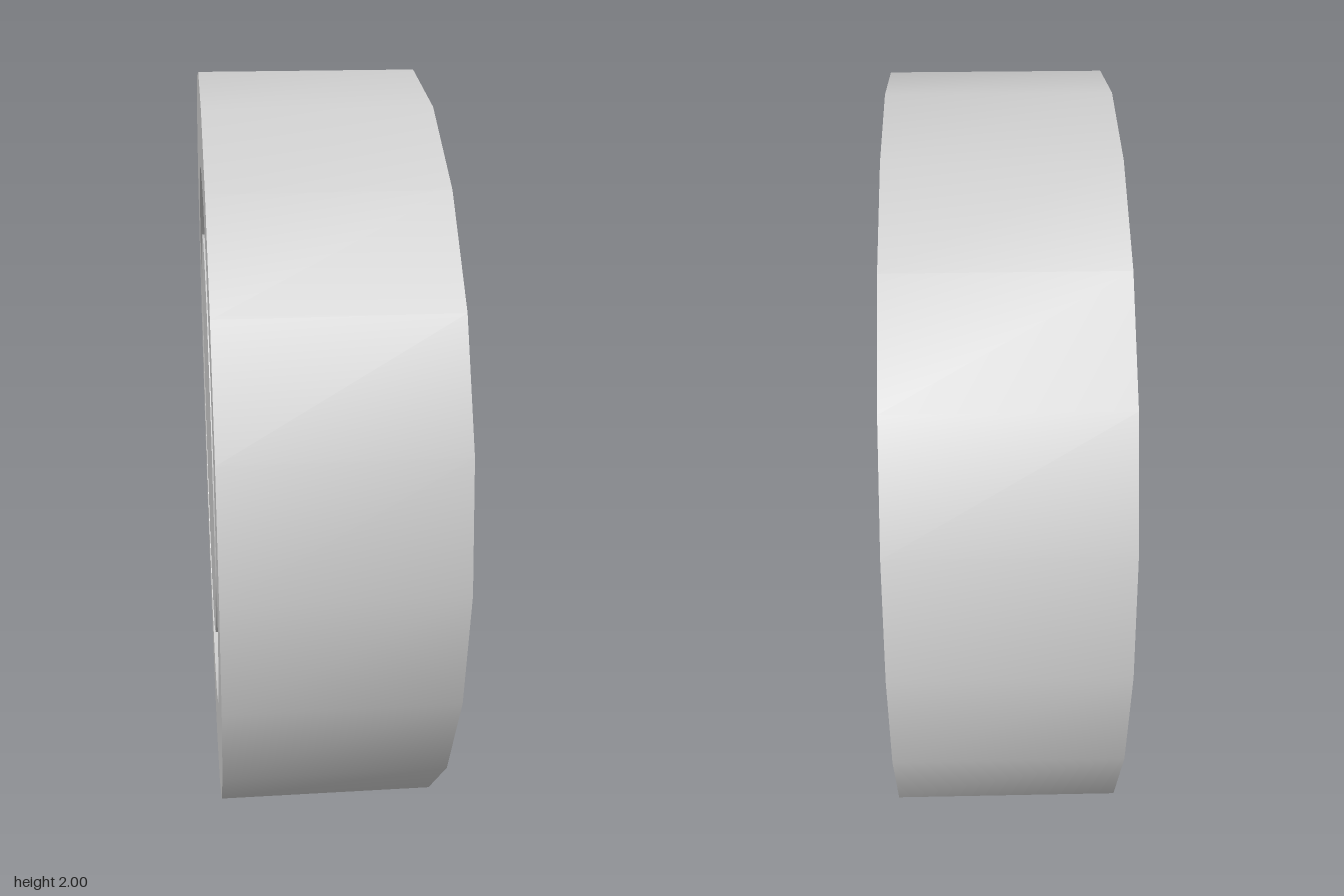
import * as THREE from 'three';
import { toCreasedNormals } from 'three/addons/utils/BufferGeometryUtils.js';

const SIDES = 20;
const HALF = 0.278;          // half the wheel's width
const FLOOR = HALF - 0.086;  // groove floor, measured from the middle
const R_OUT = 1, R_GROOVE = 0.75, R_HUB = 0.56;

export function createModel() {
  const material = new THREE.MeshStandardMaterial({ color: 0xcccccc });
  const wheel = new THREE.Group();
  wheel.name = 'wheel';

  // Turns a [radius, height] profile, listed from low to high, around the axle
  const turn = (name, profile) => {
    const points = profile.map(([r, h]) => new THREE.Vector2(r, h));
    const geometry = toCreasedNormals(new THREE.LatheGeometry(points, SIDES), 0.6);
    const mesh = new THREE.Mesh(geometry, material);
    mesh.name = name;
    wheel.add(mesh);
  };

  // Outer ring with the outer walls of both grooves
  turn('tyre', [
    [R_GROOVE, -FLOOR], [R_GROOVE, -HALF], [R_OUT, -HALF],
    [R_OUT, HALF], [R_GROOVE, HALF], [R_GROOVE, FLOOR],
  ]);

  // Recessed groove floors, one on each face
  turn('outerGrooveFloor', [[R_GROOVE, FLOOR], [R_HUB, FLOOR]]);
  turn('innerGrooveFloor', [[R_HUB, -FLOOR], [R_GROOVE, -FLOOR]]);

  // Hub discs, flush with the tyre's faces
  turn('outerHub', [[R_HUB, FLOOR], [R_HUB, HALF], [0, HALF]]);
  turn('innerHub', [[0, -HALF], [R_HUB, -HALF], [R_HUB, -FLOOR]]);

  // Lay the axle along x and stand the wheel on the ground
  wheel.rotation.z = -Math.PI / 2;
  wheel.position.y = R_OUT;

  const model = new THREE.Group();
  model.add(wheel);
  return model;
}
